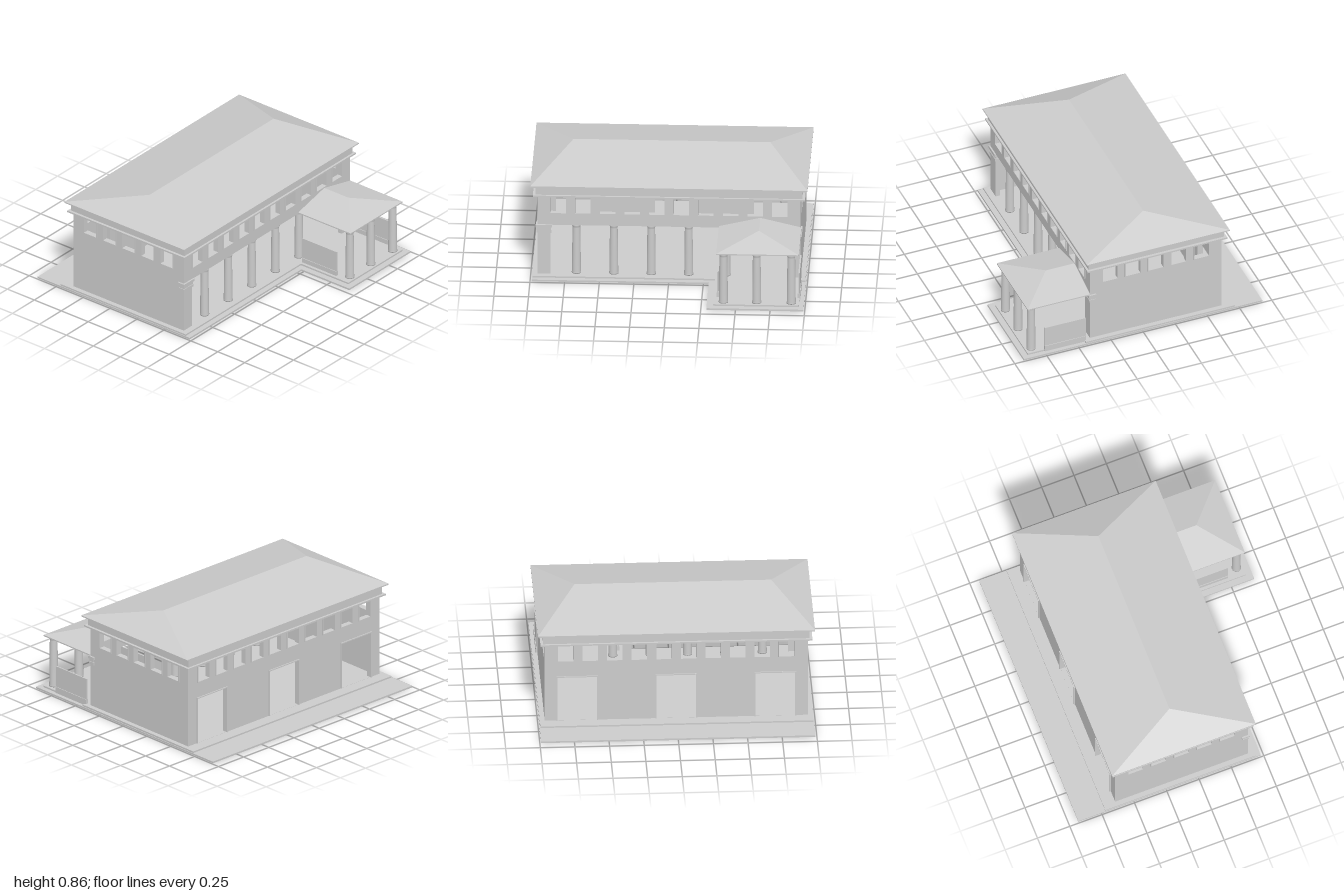
import * as THREE from 'three';
import { ConvexGeometry } from 'three/addons/geometries/ConvexGeometry.js';

const mat = new THREE.MeshStandardMaterial({ color: 0xcccccc, side: THREE.DoubleSide });

export function createModel() {
  const model = new THREE.Group();
  const add = (name, geo) => {
    const m = new THREE.Mesh(geo, mat);
    m.name = name;
    model.add(m);
    return m;
  };
  // Box given by its limits
  const box = (name, x0, x1, y0, y1, z0, z1) =>
    add(name, new THREE.BoxGeometry(x1 - x0, y1 - y0, z1 - z0)
      .translate((x0 + x1) / 2, (y0 + y1) / 2, (z0 + z1) / 2));
  const trace = (p, [a, b, c, d]) => {
    p.moveTo(a, c); p.lineTo(b, c); p.lineTo(b, d); p.lineTo(a, d); p.closePath();
    return p;
  };
  // Rectangle [a0, a1, y0, y1] with rectangular holes, extruded between two depths
  const panel = (name, axis, rect, holes, from, to) => {
    const shape = trace(new THREE.Shape(), rect);
    holes.forEach(h => shape.holes.push(trace(new THREE.Path(), h)));
    const geo = new THREE.ExtrudeGeometry(shape, { depth: to - from, bevelEnabled: false });
    if (axis === 'x') geo.rotateY(-Math.PI / 2).translate(to, 0, 0);
    else geo.translate(0, 0, from);
    return add(name, geo);
  };
  // Thin projecting frames around openings
  const frames = (name, axis, openings, from, to) => {
    const t = 0.007;
    openings.forEach(([a, b, c, d]) =>
      panel(name, axis, [a - t, b + t, c - t, d + t], [[a, b, c, d]], from, to));
  };

  const X0 = -0.63, X1 = 0.395, Z = 0.95, FLOOR = 0.025, TOP = 0.645, T = 0.035;

  // Stepped L-shaped platform and the low walkway
  box('walkway', -0.93, -0.72, 0, 0.013, -0.99, 0.99);
  box('baseSlab', -0.72, 0.48, 0, 0.013, -0.99, 0.99);
  box('porchBaseSlab', 0.48, 0.925, 0, 0.013, -0.99, -0.29);
  box('floor', -0.72, 0.44, 0.013, FLOOR, -0.985, 0.985);
  box('porchFloor', 0.44, 0.88, 0.013, FLOOR, -0.955, -0.335);

  // Openings
  const sideWindows = [], endWindows = [];
  for (let i = 0; i < 10; i++) {
    const c = (i - 4.5) * 0.1775;
    sideWindows.push([c - 0.056, c + 0.056, 0.507, 0.63]);
  }
  for (let i = 0; i < 5; i++) {
    const c = -0.1175 + (i - 2) * 0.1775;
    endWindows.push([c - 0.057, c + 0.057, 0.507, 0.63]);
  }
  const doors = [-0.715, 0, 0.715].map(c => [c - 0.143, c + 0.143, FLOOR + 0.001, 0.375]);

  // Front and back walls
  [[Z - T, Z, 'front'], [-Z, -Z + T, 'back']].forEach(([a, b, side]) => {
    panel(side + 'Wall', 'z', [X0, X1 - T, FLOOR, TOP], endWindows, a, b);
    frames(side + 'WindowFrame', 'z', endWindows, a - 0.004, b + 0.004);
  });
  // Wall with doorways, and the upper wall over the colonnade
  panel('doorWall', 'x', [-Z, Z, FLOOR, TOP], [...sideWindows, ...doors], X0, X0 + T);
  frames('doorSideWindowFrame', 'x', sideWindows, X0 - 0.007, X0 + T);
  doors.forEach(([a, b, , d]) => {
    box('doorJamb', X0 - 0.008, X0 + T, FLOOR, d, a - 0.008, a);
    box('doorJamb', X0 - 0.008, X0 + T, FLOOR, d, b, b + 0.008);
    box('doorLintel', X0 - 0.008, X0 + T, d, d + 0.008, a - 0.008, b + 0.008);
  });
  panel('upperWall', 'x', [-Z, Z, 0.412, TOP], sideWindows, X1 - T, X1);
  frames('colonnadeWindowFrame', 'x', sideWindows, X1 - T, X1 + 0.006);

  // Corner piers with banded capitals
  [-1, 1].forEach(s => {
    const pier = (name, grow, y0, y1) => {
      const a = s * (0.857 - grow), b = s * (Z + grow);
      box(name, X1 - T - grow, X1 + grow, y0, y1, Math.min(a, b), Math.max(a, b));
    };
    pier('cornerPier', 0, FLOOR, 0.412);
    pier('pierBand', 0.008, 0.352, 0.372);
    pier('pierNeck', 0.004, 0.372, 0.395);
    pier('pierCapital', 0.012, 0.395, 0.415);
  });

  // Tapered columns
  const profile = [[0, FLOOR], [0.034, FLOOR], [0.034, 0.033], [0.032, 0.037], [0.0315, 0.17],
    [0.028, 0.385], [0.028, 0.392], [0.033, 0.402], [0.033, 0.415], [0, 0.415]];
  const columnGeo = new THREE.LatheGeometry(profile.map(p => new THREE.Vector2(...p)), 24);
  const column = (name, x, z) => add(name, columnGeo).position.set(x, 0, z);
  [0.67, 0.4, 0.13, -0.14, -0.41].forEach(z => column('colonnadeColumn', 0.36, z));
  [-0.41, -0.65, -0.9].forEach(z => column('porchColumn', 0.833, z));

  // Cornice, frieze and eaves
  box('cornice', -0.662, 0.426, 0.643, 0.655, -0.982, 0.982);
  box('frieze', -0.645, 0.41, 0.655, 0.718, -0.962, 0.962);
  box('eaveMoulding', -0.66, 0.426, 0.716, 0.726, -0.986, 0.986);
  box('eave', -0.673, 0.438, 0.724, 0.733, -1, 1);

  // Hipped roofs
  const V = (...p) => new THREE.Vector3(...p);
  const rect = (x0, x1, y, z0, z1) => [V(x0, y, z0), V(x1, y, z0), V(x1, y, z1), V(x0, y, z1)];
  add('mainRoof', new ConvexGeometry([...rect(-0.673, 0.438, 0.733, -1, 1),
    V(-0.1175, 0.862, -0.71), V(-0.1175, 0.862, 0.71)]));
  box('porchEave', X1, 0.88, 0.415, 0.424, -0.955, -0.36);
  add('porchRoof', new ConvexGeometry([...rect(X1, 0.88, 0.424, -0.955, -0.36),
    V(X1, 0.495, -0.6575), V(0.62, 0.495, -0.6575)]));

  // Low screens on both sides of the porch
  [-0.952, -0.367].forEach(z => {
    box('porchScreen', 0.43, 0.75, 0.06, 0.22, z - 0.005, z + 0.005);
    box('porchScreenBase', 0.43, 0.75, 0.013, 0.06, z - 0.01, z + 0.01);
  });

  return model;
}
